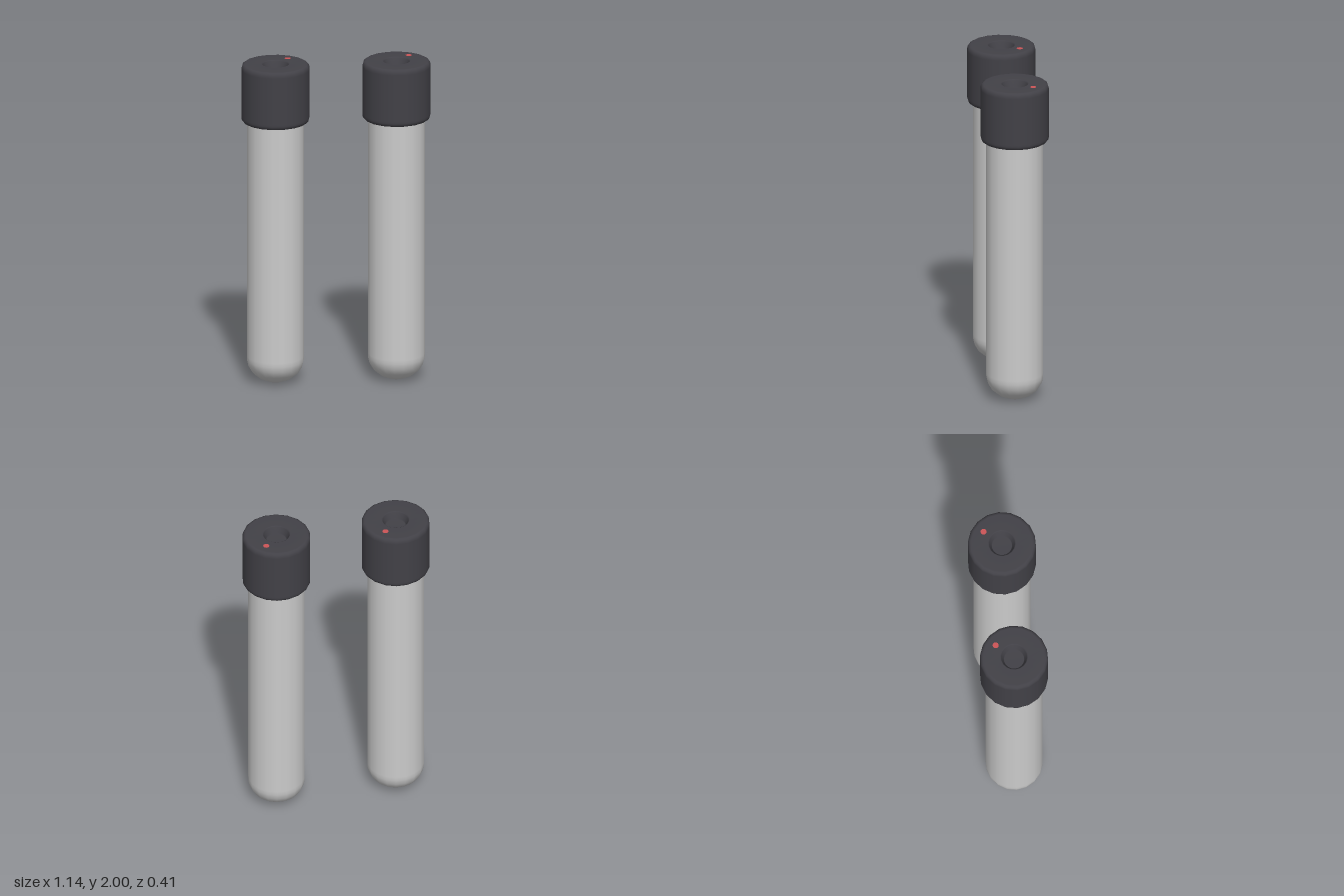
import * as THREE from 'three';

const SIDES = 18;
const material = (name, color) => new THREE.MeshStandardMaterial({ name, color });

// Revolve a bottom-to-top [radius, height] profile with a corner facing sideways
function lathe(name, profile, mat) {
  const points = profile.map(([r, y]) => new THREE.Vector2(r, y));
  const mesh = new THREE.Mesh(new THREE.LatheGeometry(points, SIDES, Math.PI / 2), mat);
  mesh.name = name;
  return mesh;
}

export function createModel() {
  const glass = material('pale grey tube', 0xcbcbcb);
  const rubber = material('charcoal cap', 0x424147);
  const red = material('red mark', 0xcc5557);

  const model = new THREE.Group();
  model.name = 'testTubes';

  for (const side of [-1, 1]) {
    const tube = new THREE.Group();
    tube.name = side < 0 ? 'rightTube' : 'leftTube';
    tube.position.x = side * 0.366;

    // Long body with a rounded bottom, running up inside the cap
    tube.add(lathe('tubeBody', [
      [0, 0], [0.05, 0.006], [0.095, 0.024], [0.14, 0.06], [0.164, 0.1],
      [0.172, 0.135], [0.172, 0.16], [0.172, 1.66],
    ], glass));

    // Cap with softened rims and a stepped recess in the top
    tube.add(lathe('cap', [
      [0.165, 1.637], [0.188, 1.637], [0.194, 1.639], [0.203, 1.648], [0.206, 1.66],
      [0.206, 1.672], [0.206, 1.965], [0.206, 1.975], [0.202, 1.99], [0.192, 1.997],
      [0.182, 1.999], [0.085, 1.999], [0.08, 1.997], [0.078, 1.992],
      [0.064, 1.962], [0.063, 1.955], [0.06, 1.953], [0, 1.953],
    ], rubber));

    // Small painted dot on the cap, towards the back
    const dot = new THREE.Mesh(new THREE.CylinderGeometry(0.019, 0.019, 0.002, 10), red);
    dot.name = 'capDot';
    dot.position.set(0.083, 1.999, -0.103);
    tube.add(dot);

    model.add(tube);
  }
  return model;
}
